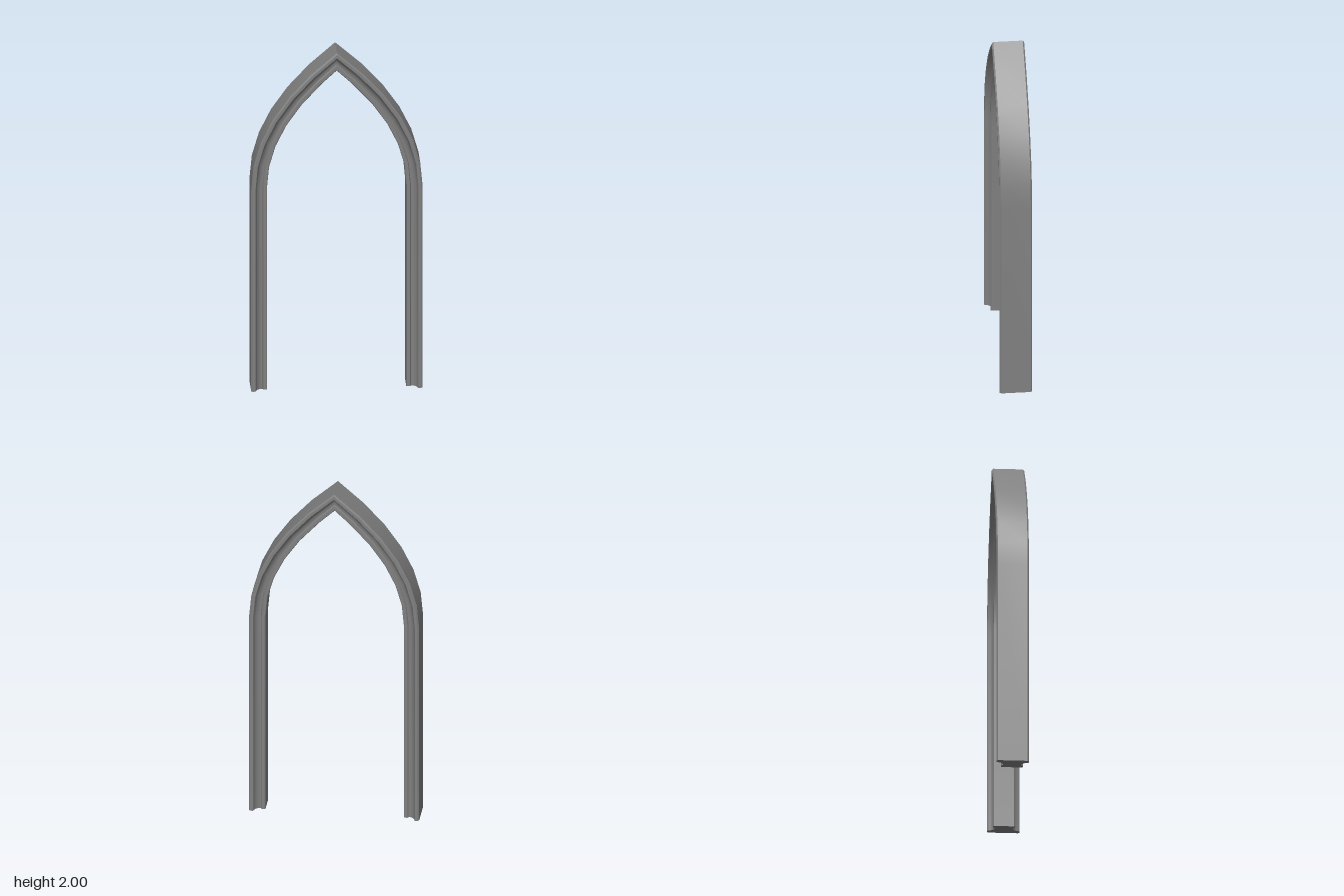
import * as THREE from 'three';
import { toCreasedNormals } from 'three/addons/utils/BufferGeometryUtils.js';

const HALF_WIDTH = 0.475, SPRING = 1.2, TOP = 2, CONTROL = 1.62, STEPS = 6;

// Moulding section, front half: [inset from the outer face, z]
const frontHalf = [
  [0, 0.082], [0.008, 0.09], [0.023, 0.09], [0.026, 0.086], [0.028, 0.075],
  [0.035, 0.062], [0.05, 0.051], [0.063, 0.05], [0.068, 0.06], [0.085, 0.06], [0.089, 0.056],
];
const section = [...frontHalf, ...frontHalf.map(([d, z]) => [d, -z]).reverse()];

// Stations along the outer edge: point and inward offset direction
function makeStations() {
  const curve = new THREE.QuadraticBezierCurve(
    new THREE.Vector2(HALF_WIDTH, SPRING),
    new THREE.Vector2(HALF_WIDTH, CONTROL),
    new THREE.Vector2(0, TOP)
  );
  const right = [{ x: HALF_WIDTH, y: 0, nx: -1, ny: 0 }];
  for (let i = 0; i <= STEPS; i++) {
    const p = curve.getPoint(i / STEPS), t = curve.getTangent(i / STEPS);
    // the point of the arch is mitred on the centre line
    right.push(i < STEPS
      ? { x: p.x, y: p.y, nx: -t.y, ny: t.x }
      : { x: 0, y: TOP, nx: 0, ny: 1 / t.x });
  }
  const left = right.slice(0, -1).reverse().map((s) => ({ x: -s.x, y: s.y, nx: -s.nx, ny: s.ny }));
  return [...right, ...left];
}

// Sweep the section along the stations
function makeArchGeometry() {
  const stations = makeStations(), n = section.length;
  const positions = [], index = [];
  for (const s of stations) {
    for (const [d, z] of section) positions.push(s.x + s.nx * d, s.y + s.ny * d, z);
  }
  for (let i = 0; i < stations.length - 1; i++) {
    for (let j = 0; j < n; j++) {
      const k = (j + 1) % n;
      const a = i * n + j, b = i * n + k, c = a + n, e = b + n;
      index.push(a, e, b, a, c, e);
    }
  }
  const geometry = new THREE.BufferGeometry();
  geometry.setAttribute('position', new THREE.Float32BufferAttribute(positions, 3));
  geometry.setIndex(index);
  return toCreasedNormals(geometry, 0.6);
}

export function createModel() {
  const group = new THREE.Group();
  group.name = 'pointedArch';
  const stone = new THREE.MeshStandardMaterial({ color: 0x808080 });
  stone.name = 'grey stone';

  const arch = new THREE.Mesh(makeArchGeometry(), stone);
  arch.name = 'archMoulding';
  group.add(arch);

  // Flat undersides of the two legs
  for (const side of [1, -1]) {
    const shape = new THREE.Shape(
      section.map(([d, z]) => new THREE.Vector2(side * (HALF_WIDTH - d), z))
    );
    const foot = new THREE.Mesh(new THREE.ShapeGeometry(shape).rotateX(Math.PI / 2), stone);
    foot.name = side > 0 ? 'leftFoot' : 'rightFoot';
    group.add(foot);
  }
  return group;
}
